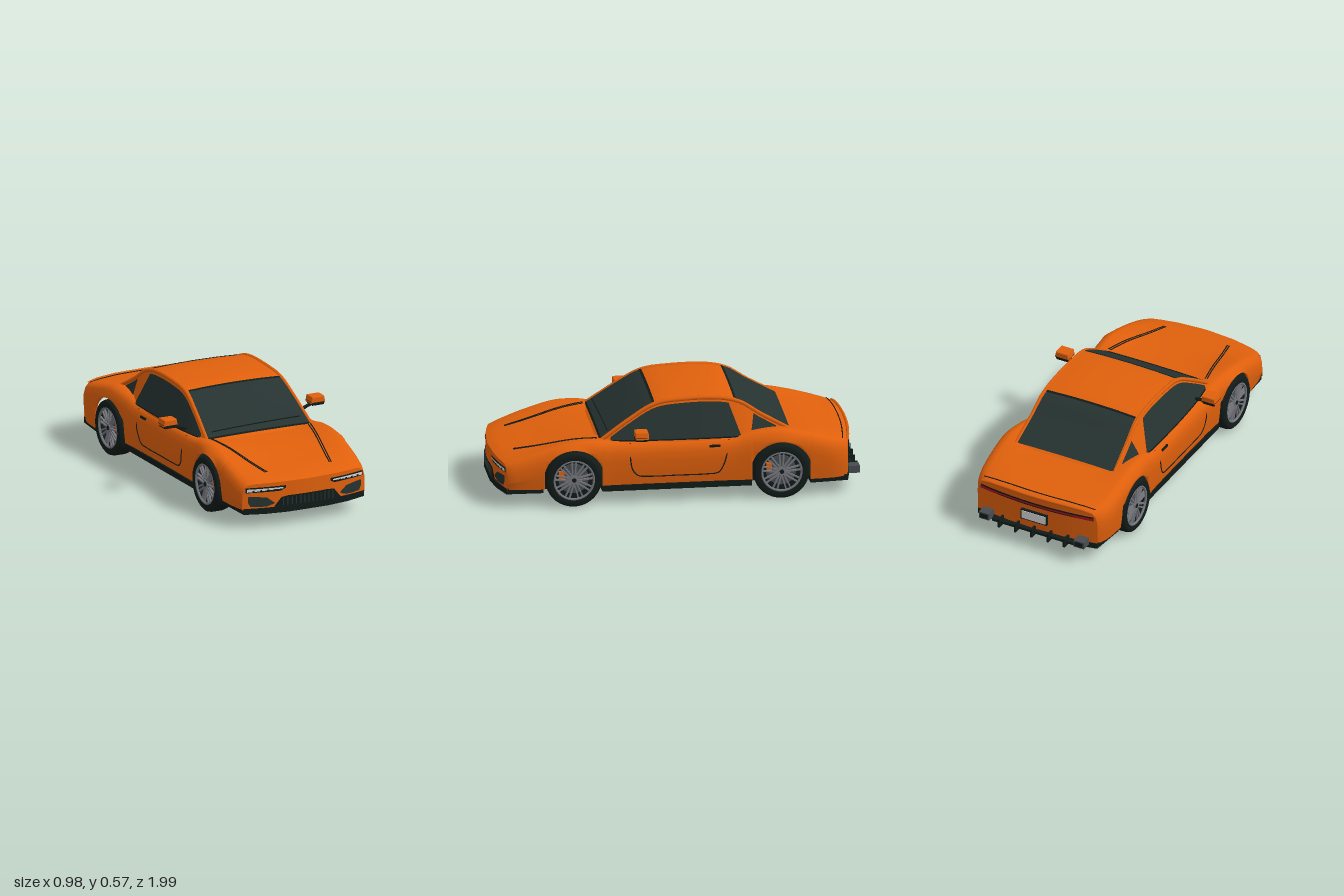
import * as THREE from 'three';

const V = (x, y, z) => new THREE.Vector3(x, y, z);
const lerp = THREE.MathUtils.lerp, clamp = THREE.MathUtils.clamp;
const mat = (name, color, side = THREE.FrontSide) => {
  const m = new THREE.MeshStandardMaterial({ color, side });
  m.name = name;
  return m;
};

// Body stations: z, half width, fender height, centre height
const BODY = [
  [0.985, 0.372, 0.243, 0.245], [0.95, 0.383, 0.252, 0.258], [0.85, 0.393, 0.28, 0.277],
  [0.75, 0.398, 0.31, 0.292], [0.58, 0.405, 0.355, 0.32], [0.45, 0.4, 0.359, 0.335],
  [0.35, 0.392, 0.346, 0.34], [0, 0.39, 0.343, 0.34], [-0.3, 0.393, 0.348, 0.34],
  [-0.41, 0.4, 0.372, 0.35], [-0.55, 0.41, 0.386, 0.36], [-0.66, 0.412, 0.368, 0.358],
  [-0.85, 0.402, 0.322, 0.328], [-0.93, 0.38, 0.305, 0.315], [-0.955, 0.365, 0.298, 0.306],
];
// Cabin stations: z, edge height, half width at base, half width at edge, crown
const CABIN = [
  [0.43, 0.335, 0.326, 0.322, 0.003], [0.39, 0.362, 0.335, 0.318, 0.004],
  [0.25, 0.457, 0.352, 0.303, 0.007], [0.12, 0.53, 0.36, 0.292, 0.008], [-0.02, 0.55, 0.364, 0.288, 0.012],
  [-0.23, 0.55, 0.364, 0.288, 0.012], [-0.35, 0.522, 0.36, 0.291, 0.008], [-0.45, 0.458, 0.345, 0.295, 0.006],
  [-0.555, 0.398, 0.325, 0.302, 0.005], [-0.65, 0.345, 0.308, 0.306, 0.003],
];
const WHEELS = [0.567, -0.56], AXLE = 0.153, ARCH = 0.166;

// Smooth interpolation of a station table at z
function sample(T, z) {
  let i = 0;
  while (i < T.length - 2 && z < T[i + 1][0]) i++;
  const a = T[i], b = T[i + 1], p = T[Math.max(i - 1, 0)], n = T[Math.min(i + 2, T.length - 1)];
  const h = b[0] - a[0], t = clamp((z - a[0]) / h, 0, 1), t2 = t * t, t3 = t2 * t;
  return a.slice(1).map((va, k) => {
    const c = k + 1, vb = b[c];
    const ma = ((vb - p[c]) / (b[0] - p[0])) * h, mb = ((n[c] - va) / (n[0] - a[0])) * h;
    return (2 * t3 - 3 * t2 + 1) * va + (t3 - 2 * t2 + t) * ma + (3 * t2 - 2 * t3) * vb + (t3 - t2) * mb;
  });
}
// Bow of the nose and tail in plan
function bend(x, z) {
  const f = clamp((z - 0.7) / 0.285, 0, 1), r = clamp((-z - 0.7) / 0.255, 0, 1);
  return z + (x / 0.4) ** 2 * (0.04 * r * r - 0.07 * f * f);
}
// Lower edge of the body with the wheel arches
function lowerEdge(z) {
  for (const c of WHEELS) {
    const d = Math.abs(z - c);
    if (d < 0.1565) return AXLE + Math.sqrt(ARCH * ARCH - d * d);
  }
  return 0.1;
}
function bodyHalf(z, yb = lowerEdge(z)) {
  const [w, sy, cy] = sample(BODY, z);
  return [[0.965, yb], [0.985, lerp(0.1, sy, 0.25)], [1, sy - 0.11], [0.996, sy - 0.06], [0.968, sy - 0.025],
    [0.915, sy - 0.006], [0.84, sy], [0.7, lerp(sy, cy, 0.5)], [0.45, cy], [0, cy]].map(([f, y]) => [f * w, Math.max(y, yb)]);
}
function cabinHalf(z) {
  const [ty, xb, xe, cr] = sample(CABIN, z);
  return [[xb, 0.325], [xe, ty - 0.012], [xe - 0.003, ty - 0.004], [xe - 0.014, ty], [xe * 0.5, ty + cr * 0.75], [0, ty + cr]];
}
const full = (half, z) => [...half, ...half.slice(0, -1).reverse().map(([x, y]) => [-x, y])].map(([x, y]) => V(x, y, bend(x, z)));

// Surface lookups
function heightAt(half, x) {
  for (let i = half.length - 2; i >= 0; i--) {
    const [x0, y0] = half[i], [x1, y1] = half[i + 1];
    if (x <= x0) return lerp(y1, y0, (x - x1) / (x0 - x1 || 1));
  }
  return half[0][1];
}
function bodySideX(y, z) {
  const h = bodyHalf(z, 0.1);
  for (let i = 0; i < 6; i++) if (y <= h[i + 1][1]) return lerp(h[i][0], h[i + 1][0], clamp((y - h[i][1]) / (h[i + 1][1] - h[i][1]), 0, 1));
  return h[6][0];
}
function cabinSideX(y, z) {
  const [ty, xb, xe] = sample(CABIN, z);
  return lerp(xb, xe, (y - 0.325) / (ty - 0.337));
}

// Skin through rows of points
function loft(rows) {
  const n = rows[0].length, pos = rows.flat().flatMap((p) => [p.x, p.y, p.z]), idx = [];
  for (let i = 0; i < rows.length - 1; i++) for (let j = 0; j < n - 1; j++) {
    const a = i * n + j, b = a + n;
    idx.push(a, b, a + 1, b, b + 1, a + 1);
  }
  const g = new THREE.BufferGeometry();
  g.setAttribute('position', new THREE.Float32BufferAttribute(pos, 3));
  g.setIndex(idx);
  g.computeVertexNormals();
  return g;
}
const range = (a, b, n) => Array.from({ length: n + 1 }, (_, i) => lerp(a, b, i / n));
const tube = (pts, r, n = 30) => new THREE.TubeGeometry(new THREE.CatmullRomCurve3(pts), n, r, 6);

export function createModel() {
  const car = new THREE.Group();
  car.name = 'sportsCar';
  const D = THREE.DoubleSide;
  const paint = mat('orange paint', 0xe0600c), glass = mat('dark glass', 0x263331, D), black = mat('black trim', 0x111b19, D);
  const alloy = mat('grey alloy', 0x74767c), steel = mat('dark steel', 0x474b50), lamp = mat('silver lamp', 0xd0d3d4, D);
  const red = mat('red lamp', 0xa8121e, D), white = mat('plate white', 0xdcdcdc);
  const add = (name, g, m, parent = car) => {
    const o = new THREE.Mesh(g, m);
    o.name = name;
    parent.add(o);
    return o;
  };
  const box = (name, w, h, d, x, y, z, m, parent) => add(name, new THREE.BoxGeometry(w, h, d).translate(x, y, z), m, parent);

  // Body shell with end faces
  const zs = range(0.985, -0.955, 90);
  for (const c of WHEELS) for (const e of [-1, 1]) zs.push(c + e * 0.1564, c + e * 0.1566);
  zs.sort((a, b) => b - a);
  add('body', loft(zs.map((z) => full(bodyHalf(z), z))), paint);
  const nose = full(bodyHalf(0.985), 0.985), tail = full(bodyHalf(-0.955), -0.955);
  const drop = (row) => row.map((p) => V(p.x, 0.1, p.z));
  add('noseFace', loft([drop(nose), nose]), paint);
  add('tailFace', loft([tail, drop(tail)]), paint);

  // Cabin, roof rails and main glass
  add('cabin', loft(range(0.43, -0.65, 60).map((z) => full(cabinHalf(z), z))), paint);
  const over = (x, z, lift) => V(x, heightAt(cabinHalf(z), Math.abs(x)) + lift, z);
  const topGlass = (name, z0, z1, x0, x1, m, lift) => add(name, loft(range(z0, z1, 14).map((z) => {
    const w = lerp(x0, x1, (z - z0) / (z1 - z0));
    return range(w, -w, 10).map((x) => over(x, z, lift));
  })), m);
  topGlass('windscreen', 0.41, 0.125, 0.308, 0.277, glass, 0.004);
  topGlass('rearWindow', -0.325, -0.615, 0.272, 0.292, glass, 0.004);
  topGlass('windscreenTopSeal', 0.128, 0.115, 0.277, 0.275, black, 0.005);
  topGlass('rearWindowTopSeal', -0.315, -0.328, 0.272, 0.272, black, 0.005);
  topGlass('windscreenBaseSeal', 0.418, 0.408, 0.308, 0.307, black, 0.005);
  add('wiper', tube(range(-0.27, 0.27, 10).map((x) => over(x, 0.375 - x * 0.02, 0.006)), 0.003), black);

  // Plate bent round the nose or tail: list of [x, low y, high y]
  const endPlate = (name, pts, front, m, lift = 0.004) => add(name, loft(pts.map(([x, lo, hi]) => {
    const z = front ? bend(x, 0.985) + lift : bend(x, -0.955) - lift;
    return [V(x, lo, z), V(x, hi, z)];
  })), m);
  endPlate('grille', [[-0.2, 0.108, 0.112], [-0.16, 0.108, 0.16], ...range(-0.12, 0.12, 6).map((x) => [x, 0.108, 0.166]),
    [0.16, 0.108, 0.16], [0.2, 0.108, 0.112]], true, black);
  for (const x of range(-0.15, 0.15, 12)) box('grilleRib', 0.006, 0.044, 0.006, x, 0.135, bend(x, 0.985) + 0.004, glass);
  endPlate('tailLightSurround', range(-0.345, 0.345, 16).map((x) => [x, 0.248, 0.272]), false, black, 0.003);
  endPlate('tailLight', range(-0.345, 0.345, 16).map((x) => [x, Math.abs(x) > 0.25 ? 0.25 : 0.256, 0.266]), false, red, 0.007);
  add('tailLip', tube(range(-0.34, 0.34, 12).map((x) => V(x, heightAt(bodyHalf(-0.95), Math.abs(x)) + 0.002, bend(x, -0.954))), 0.008), paint);
  add('tailLipSeam', tube(range(-0.34, 0.34, 12).map((x) => V(x, heightAt(bodyHalf(-0.92), Math.abs(x)) + 0.001, bend(x, -0.92))), 0.003), black);
  box('numberPlateFrame', 0.16, 0.062, 0.014, 0, 0.188, -0.962, black);
  box('numberPlate', 0.144, 0.048, 0.006, 0, 0.188, -0.969, white);

  // Floor, sills and splitter in one slab
  const edge = [[0.12, 0.988], [0.25, 0.968], [0.365, 0.93], [0.37, 0.73], [0.305, 0.72], [0.305, 0.412], [0.387, 0.41],
    [0.387, -0.4], [0.305, -0.402], [0.305, -0.715], [0.385, -0.72], [0.365, -0.925], [0.2, -0.955]];
  const outline = [...edge, ...edge.slice().reverse().map(([x, z]) => [-x, z])].map(([x, z]) => new THREE.Vector2(x, z));
  add('floor', new THREE.ExtrudeGeometry(new THREE.Shape(outline), { depth: 0.032, bevelEnabled: false })
    .rotateX(Math.PI / 2).translate(0, 0.107, 0), black);

  // Rear diffuser
  box('diffuserBar', 0.5, 0.014, 0.03, 0, 0.1, -0.965, black);
  for (const x of range(-0.2, 0.2, 4)) box('diffuserFin', 0.012, 0.05, 0.07, x, 0.1, -0.963, black);

  for (const s of [1, -1]) {
    // Side glass
    const sideGlass = (name, pts) => add(name, loft(pts.map(([z, lo, hi]) =>
      range(lo, hi, 4).map((y) => V(s * (cabinSideX(y, z) + 0.004), y, z)))), glass);
    const edgeY = (z) => sample(CABIN, z)[0] - 0.022;
    sideGlass('sideWindow', [...range(0.36, -0.285, 26).map((z) => [z, 0.346, Math.max(0.348, edgeY(z))]), [-0.345, 0.35, 0.354]]);
    sideGlass('quarterWindow', [[-0.405, 0.372, 0.375], ...range(-0.42, -0.54, 8).map((z) => [z, 0.372, Math.max(0.376, edgeY(z))])]);
    add('roofRail', tube(range(0.41, -0.62, 24).map((z) => {
      const [ty, , xe] = sample(CABIN, z);
      return V(s * (xe - 0.004), ty - 0.003, z);
    }), 0.011, 50), paint);

    // Door seam, belt line and handle
    const seam = [[0.257, 0.335], [0.258, 0.25], [0.245, 0.19], [0.215, 0.157], [0.15, 0.15], [0, 0.15], [-0.15, 0.15],
      [-0.22, 0.158], [-0.245, 0.195], [-0.262, 0.25], [-0.28, 0.335]];
    add('doorSeam', tube(seam.map(([z, y]) => V(s * bodySideX(y, z), y, z)), 0.0035, 60), black);
    add('beltLine', tube(range(0.35, -0.35, 14).map((z) => V(s * (cabinSideX(0.345, z) + 0.004), 0.345, z)), 0.004), black);
    box('doorHandle', 0.012, 0.012, 0.06, s * bodySideX(0.307, -0.2), 0.307, -0.2, black);

    // Bonnet crease
    for (const o of [0, 0.012]) add('bonnetCrease', tube(range(0, 1, 12).map((t) => {
      const x = lerp(0.302, 0.2, t) - o, z = lerp(0.43, 0.875, t);
      return V(s * x, heightAt(bodyHalf(z), x) + 0.001, bend(x, z));
    }), 0.0032), black);

    // Headlights and side intakes
    endPlate('headlightHousing', range(0.135, 0.355, 8).map((x) => [s * x, x < 0.15 ? 0.21 : 0.196, 0.224]), true, black, 0.003);
    endPlate('headlightLens', range(0.15, 0.35, 8).map((x) => [s * x, lerp(0.209, 0.2, (x - 0.15) / 0.2), 0.217]), true, lamp, 0.006);
    for (const x of range(0.19, 0.31, 3)) endPlate('lensDivider', [[s * x, 0.2, 0.21], [s * (x + 0.012), 0.2, 0.21]], true, black, 0.008);
    endPlate('sideIntake', [[0.2, 0.128, 0.134], [0.24, 0.115, 0.164], [0.28, 0.114, 0.17], [0.33, 0.118, 0.175], [0.342, 0.14, 0.174]]
      .map(([x, a, b]) => [s * x, a, b]), true, glass);

    // Exhaust
    box('exhaust', 0.062, 0.04, 0.06, s * 0.29, 0.118, -0.965, steel);
    box('exhaustMouth', 0.046, 0.026, 0.004, s * 0.29, 0.118, -0.9955, black);

    // Door mirror
    const pod = (r0, r1, h) => {
      const sh = new THREE.Shape([[-r0, 0], [r0, 0], [r1, h], [-r1, h]].map(([x, y]) => new THREE.Vector2(x, y)));
      return new THREE.ExtrudeGeometry(sh, { depth: 0.06, bevelEnabled: true, bevelSize: 0.006, bevelThickness: 0.006, bevelSegments: 3 });
    };
    add('mirrorShell', pod(0.037, 0.032, 0.025).translate(s * 0.448, 0.399, 0.178), paint);
    add('mirrorBase', pod(0.03, 0.036, 0.012).translate(s * 0.448, 0.387, 0.178), black);
    add('mirrorArm', tube([V(s * 0.43, 0.388, 0.208), V(s * 0.39, 0.375, 0.212), V(s * 0.345, 0.362, 0.225)], 0.009, 8), black);

    // Wheels
    for (const z of WHEELS) {
      const wheel = new THREE.Group();
      wheel.name = z > 0 ? 'frontWheel' : 'rearWheel';
      wheel.position.set(s * 0.3625, AXLE, z);
      car.add(wheel);
      const profile = [[0.106, -0.046], [0.116, -0.051], [0.138, -0.0525], [0.149, -0.044], [0.153, -0.028], [0.153, 0.028],
        [0.149, 0.044], [0.138, 0.0525], [0.116, 0.051], [0.106, 0.046]].map(([r, y]) => new THREE.Vector2(r, y));
      add('tyre', new THREE.LatheGeometry(profile, 48).rotateZ(-Math.PI / 2), black, wheel);
      const disc = (name, r, w, x, m) => add(name, new THREE.CylinderGeometry(r, r, w, 36).rotateZ(Math.PI / 2).translate(s * x, 0, 0), m, wheel);
      disc('rimBack', 0.107, 0.05, -0.02, black);
      disc('brakeDisc', 0.082, 0.012, 0.012, steel);
      disc('hub', 0.022, 0.02, 0.036, alloy);
      disc('hubCap', 0.012, 0.006, 0.046, black);
      add('rim', new THREE.TorusGeometry(0.108, 0.007, 8, 48).rotateY(Math.PI / 2).translate(s * 0.044, 0, 0), alloy, wheel);
      for (let i = 0; i < 9; i++) for (const e of [-1, 1])
        add('spoke', new THREE.BoxGeometry(0.012, 0.095, 0.008).rotateX(e * 0.07).translate(s * 0.037, 0.06, e * 0.009)
          .rotateX((i * Math.PI * 2) / 9), alloy, wheel);
      box('brakeCaliper', 0.022, 0.05, 0.028, s * 0.02, 0.02, 0.066, paint, wheel);
    }
  }
  return car;
}
